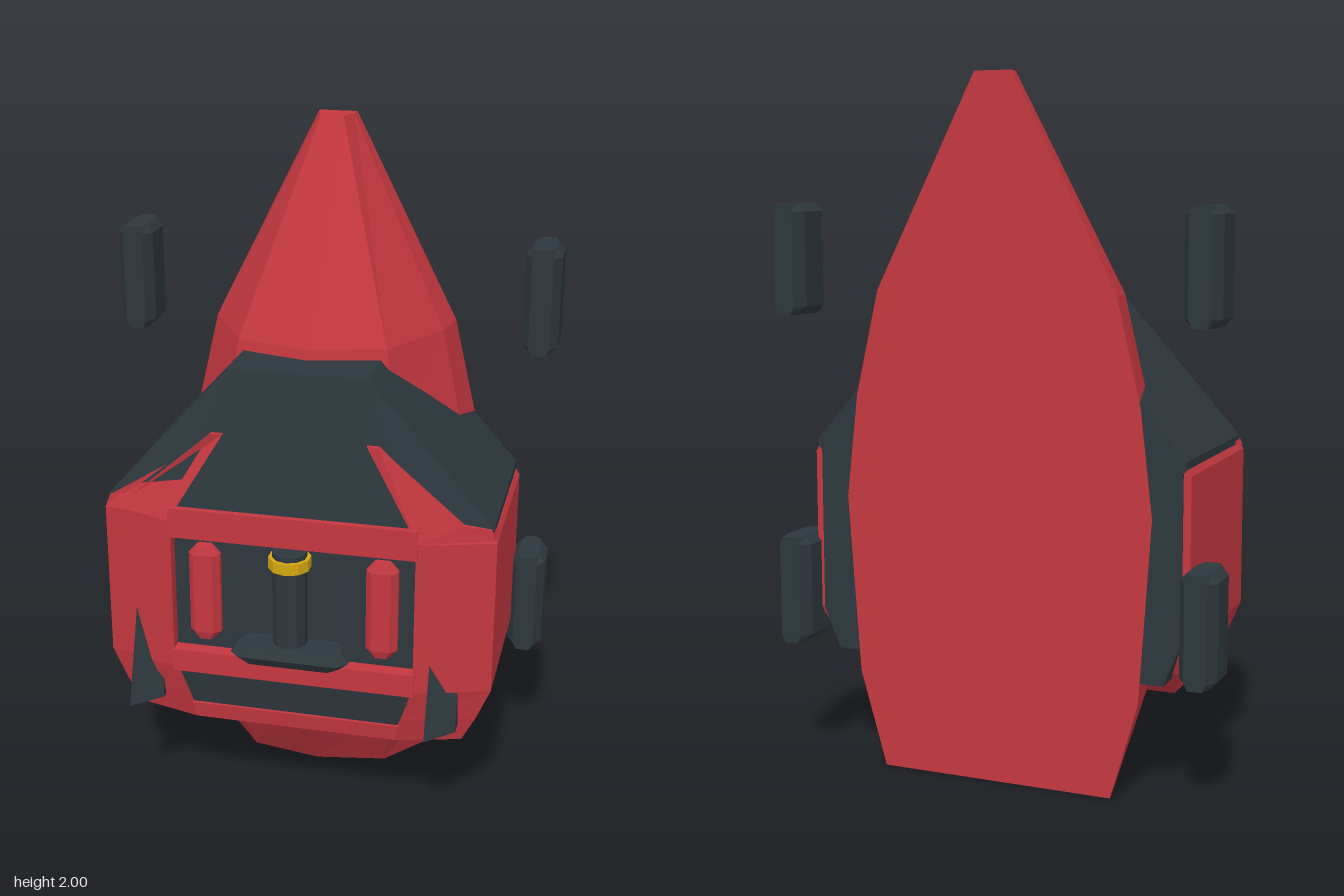
import * as THREE from 'three';

const red = new THREE.MeshStandardMaterial({ color: 0xc4373f, flatShading: true });
red.name = 'red shell';
const dark = new THREE.MeshStandardMaterial({ color: 0x2d373d, flatShading: true });
dark.name = 'dark grey';
const gold = new THREE.MeshStandardMaterial({ color: 0xd6a810, flatShading: true });
gold.name = 'gold';

function fromTriangles(pts) {
  const g = new THREE.BufferGeometry();
  g.setAttribute('position', new THREE.Float32BufferAttribute(pts.flat(), 3));
  g.computeVertexNormals();
  return g;
}

// Loft of horizontal sections. Each is [y, half outline], the outline running
// back to front on +x as [x, z] pairs and mirrored to -x.
function loft(sections) {
  const rings = sections.map(([y, half]) => {
    const other = half.filter((p) => p[0] > 0).reverse().map(([x, z]) => [-x, z]);
    return [...half, ...other].map(([x, z]) => [x, y, z]);
  });
  const n = rings[0].length, t = [];
  for (let r = 0; r < rings.length - 1; r++) {
    const a = rings[r], b = rings[r + 1];
    for (let i = 0; i < n; i++) {
      const j = (i + 1) % n;
      t.push(a[i], b[i], a[j], b[i], b[j], a[j]);
    }
  }
  const mid = (ring) => [0, ring[0][1], ring.reduce((s, p) => s + p[2], 0) / n];
  const lo = rings[0], hi = rings[rings.length - 1];
  for (let i = 0; i < n; i++) {
    const j = (i + 1) % n;
    t.push(mid(lo), lo[i], lo[j], mid(hi), hi[j], hi[i]);
  }
  return fromTriangles(t);
}

// Solid plate: front outline counter-clockwise, extended straight back to depth d
function plate(front, d) {
  const back = front.map(([x, y, z]) => [x, y, z - d]), n = front.length, t = [];
  for (let i = 1; i < n - 1; i++) {
    t.push(front[0], front[i], front[i + 1], back[0], back[i + 1], back[i]);
  }
  for (let i = 0; i < n; i++) {
    const j = (i + 1) % n;
    t.push(front[i], back[i], front[j], back[i], back[j], front[j]);
  }
  return fromTriangles(t);
}

// Octagonal half outline, centred on z
function octagon(w, d, cx, cz, z = 0) {
  return [[w - cx, z - d], [w, z - d + cz], [w, z + d - cz], [w - cx, z + d]];
}

export function createModel() {
  const model = new THREE.Group();
  const add = (name, geometry, material, x = 0, y = 0, z = 0) => {
    const m = new THREE.Mesh(geometry, material);
    m.name = name;
    m.position.set(x, y, z);
    model.add(m);
    return m;
  };
  const bar = (name, w, y0, y1, z0, z1, material) =>
    add(name, new THREE.BoxGeometry(w, y1 - y0, z1 - z0), material, 0, (y0 + y1) / 2, (z0 + z1) / 2);

  // Half-round hull with a flat back: [y, half width, depth]
  const backZ = -0.292;
  const hullRows = [[0, 0.35, 0.27], [0.28, 0.43, 0.46], [0.8, 0.465, 0.47],
    [1.1, 0.43, 0.44], [1.4, 0.36, 0.39], [2, 0.055, 0.1]];
  const hullShape = [[1, 0], [0.95, 0.3], [0.6, 0.86], [0, 1]];
  add('hull', loft(hullRows.map(([y, w, d]) =>
    [y, hullShape.map(([x, z]) => [x * w, backZ + z * d])])), red);

  // Dark core and sloping cowl
  add('cowl', loft([
    [0.34, [[0.5, -0.29], [0.5, 0.18], [0.28, 0.21]]],
    [0.46, [[0.55, -0.29], [0.55, 0.2], [0.34, 0.23]]],
    [0.93, [[0.55, -0.29], [0.55, 0.2], [0.34, 0.23]]],
    [0.942, [[0.56, -0.29], [0.56, 0.23], [0.36, 0.295]]],
    [0.965, [[0.56, -0.29], [0.56, 0.23], [0.355, 0.29]]],
    [1.37, [[0.2, -0.29], [0.2, 0.22], [0.199, 0.22]]],
  ]), dark);

  // Red side shell with a recessed middle
  const shell = (w, back, side, xi, front, recess) =>
    [[w, back], [w, side], [xi, front], [xi, recess]];
  add('sideShell', loft([
    [0.28, shell(0.49, -0.15, 0.22, 0.3, 0.27, 0.24)],
    [0.36, shell(0.53, -0.23, 0.23, 0.32, 0.287, 0.245)],
    [0.46, shell(0.572, -0.284, 0.235, 0.355, 0.302, 0.25)],
    [0.925, shell(0.572, -0.284, 0.235, 0.355, 0.302, 0.25)],
    [0.942, shell(0.562, -0.284, 0.23, 0.355, 0.302, 0.25)],
  ]), red);

  // Pointed fender blades rising over the cowl
  const blade = [[0.36, 0.93, 0.306], [0.567, 0.935, 0.24], [0.555, 0.965, 0.24],
    [0.48, 0.98, 0.263], [0.24, 1.19, 0.268], [0.205, 1.19, 0.262]];
  add('leftFenderBlade', plate(blade, 0.05), red);
  add('rightFenderBlade', plate(blade.map(([x, y, z]) => [-x, y, z]).reverse(), 0.05), red);

  // Front bay: back panel, frame bars and lower grille
  bar('bayPanel', 0.71, 0.5, 0.9, 0.24, 0.265, dark);
  bar('headerBar', 0.72, 0.88, 0.97, 0.24, 0.308, red);
  bar('bumperBar', 0.72, 0.45, 0.52, 0.24, 0.308, red);
  add('lowerGrille', plate([[-0.31, 0.33, 0.268], [0.31, 0.33, 0.268],
    [0.35, 0.455, 0.285], [-0.35, 0.455, 0.285]], 0.05), dark);
  add('lowerLip', plate([[-0.3, 0.28, 0.27], [0.3, 0.28, 0.27],
    [0.315, 0.33, 0.278], [-0.315, 0.33, 0.278]], 0.05), red);

  // Red pods inside the bay
  const pod = loft([[0.56, octagon(0.025, 0.02, 0.01, 0.015)],
    [0.585, octagon(0.046, 0.028, 0.018, 0.02)],
    [0.83, octagon(0.046, 0.028, 0.018, 0.02)],
    [0.855, octagon(0.025, 0.02, 0.01, 0.015)]]);
  for (const s of [-1, 1]) add(s > 0 ? 'leftPod' : 'rightPod', pod, red, s * 0.26, 0, 0.279);

  // Central post, gold collar and foot pad
  add('post', new THREE.CylinderGeometry(0.05, 0.05, 0.285, 10), dark, 0, 0.735, 0.315);
  add('collar', new THREE.CylinderGeometry(0.061, 0.061, 0.034, 10), gold, 0, 0.846, 0.315);
  add('footPad', loft([[0.52, octagon(0.145, 0.04, 0.03, 0.03, 0.305)],
    [0.55, octagon(0.173, 0.06, 0.03, 0.03, 0.305)],
    [0.58, octagon(0.15, 0.045, 0.03, 0.03, 0.305)]]), dark);

  // Slanted spurs, both facing the same way
  const A = [0, 0.34, 0.36], B = [0.08, 0.34, 0.285], C = [0.08, 0.5, 0.255],
    D = [0, 0.66, 0.25], E = [0, 0.34, 0.22], F = [0.08, 0.34, 0.22];
  const spur = fromTriangles([A, B, D, B, C, D, A, D, E, A, E, B, E, F, B,
    B, F, C, D, C, E, C, F, E]);
  add('rightSpur', spur, dark, -0.48);
  add('leftSpur', spur, dark, 0.4);

  // Four free-standing pads beside the hull
  const pad = loft([[-0.158, octagon(0.032, 0.083, 0.012, 0.04)],
    [-0.135, octagon(0.053, 0.083, 0.022, 0.035)],
    [0.135, octagon(0.053, 0.083, 0.022, 0.035)],
    [0.158, octagon(0.032, 0.083, 0.012, 0.04)]]);
  for (const s of [-1, 1]) {
    for (const [level, y] of [['Lower', 0.522], ['Upper', 1.485]]) {
      add((s > 0 ? 'left' : 'right') + level + 'Pad', pad, dark, s * 0.615, y, -0.294);
    }
  }
  return model;
}
